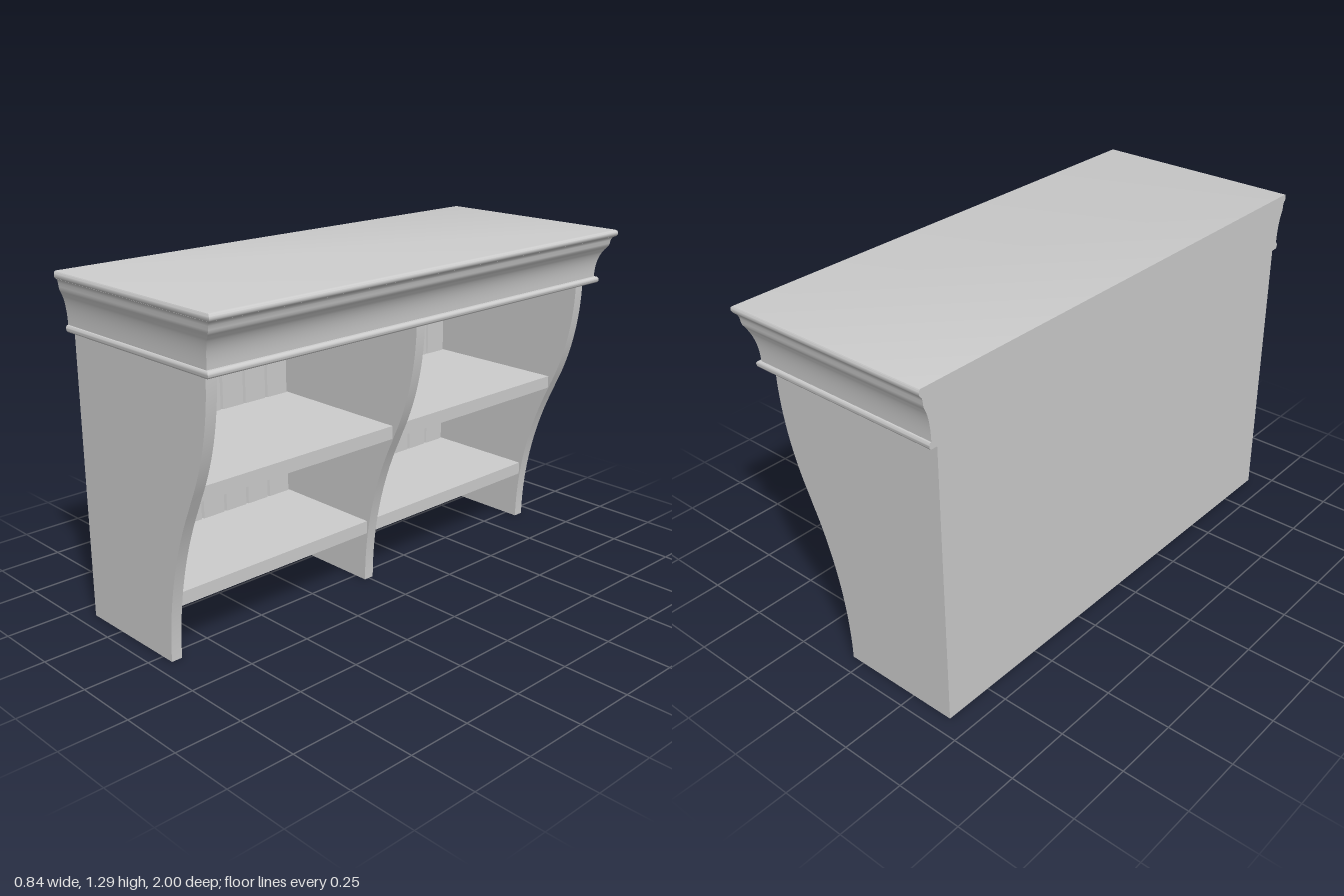
import * as THREE from 'three';
import { toCreasedNormals } from 'three/addons/utils/BufferGeometryUtils.js';

const BACK = -0.42, BODY_TOP = 1.08, PANEL = 0.042, HALF = 0.938;
const material = new THREE.MeshStandardMaterial({ color: 0xcccccc });

function add(group, name, geometry, x = 0, y = 0, z = 0) {
  const mesh = new THREE.Mesh(geometry, material);
  mesh.name = name;
  mesh.position.set(x, y, z);
  group.add(mesh);
}

// S-shaped front edge: two tangent arcs, upright at both ends
function edgeX(y) {
  if (y < 0.62) return 0.052 + 1.37 - Math.sqrt(1.37 ** 2 - y * y);
  const d = Math.max(0, 1.075 - y);
  return 0.308 - 1 + Math.sqrt(1 - d * d);
}

function panelGeometry() {
  const shape = new THREE.Shape();
  shape.moveTo(BACK, 0);
  for (let i = 0; i <= 36; i++) {
    const y = (BODY_TOP * i) / 36;
    shape.lineTo(edgeX(y), y);
  }
  shape.lineTo(BACK, BODY_TOP);
  const g = new THREE.ExtrudeGeometry(shape, { depth: PANEL, bevelEnabled: false });
  g.translate(0, 0, -PANEL / 2);
  return toCreasedNormals(g, 0.5);
}

// Back board of one bay, with V-grooves between its planks
function plankGeometry(width, count) {
  const face = BACK + 0.03, deep = face - 0.012, half = 0.006, pitch = width / count;
  const shape = new THREE.Shape();
  shape.moveTo(BACK, -width / 2);
  shape.lineTo(deep, -width / 2);
  for (let i = 0; i < count; i++) {
    const a = -width / 2 + i * pitch;
    shape.lineTo(face, a + half);
    shape.lineTo(face, a + pitch - half);
    shape.lineTo(deep, a + pitch);
  }
  shape.lineTo(BACK, width / 2);
  const g = new THREE.ExtrudeGeometry(shape, { depth: BODY_TOP, bevelEnabled: false });
  return g.rotateX(-Math.PI / 2);
}

// Cornice outline [x, y], from the bottom bead up through the cove to the top bead
function corniceProfile() {
  const pts = [[0.33, 1.075]];
  const bead = (x, y, r, n) => {
    for (let i = 0; i <= n; i++) {
      const a = -Math.PI / 2 + (Math.PI * i) / n;
      pts.push([x + r * Math.cos(a), y + r * Math.sin(a)]);
    }
  };
  bead(0.35, 1.0875, 0.0125, 8);
  const cove = new THREE.CubicBezierCurve(
    new THREE.Vector2(0.345, 1.1), new THREE.Vector2(0.347, 1.16),
    new THREE.Vector2(0.36, 1.195), new THREE.Vector2(0.39, 1.225));
  cove.getPoints(12).forEach((p) => pts.push([p.x, p.y]));
  pts.push([0.393, 1.235], [0.395, 1.248], [0.4, 1.258], [0.408, 1.263]);
  bead(0.406, 1.2765, 0.0135, 8);
  return pts;
}

// Stack of rectangles following the profile; the back stays flat
function corniceGeometry() {
  const profile = corniceProfile(), pos = [], idx = [];
  for (const [x, y] of profile) {
    const z = 1 - 0.53 * (0.4195 - x);
    pos.push(BACK, y, z, x, y, z, x, y, -z, BACK, y, -z);
  }
  for (let i = 0; i < profile.length - 1; i++) {
    for (let k = 0; k < 4; k++) {
      const a = i * 4 + k, b = i * 4 + ((k + 1) % 4);
      idx.push(a, b, b + 4, a, b + 4, a + 4);
    }
  }
  const t = (profile.length - 1) * 4;
  idx.push(t, t + 1, t + 2, t, t + 2, t + 3, 0, 2, 1, 0, 3, 2);
  const g = new THREE.BufferGeometry();
  g.setAttribute('position', new THREE.Float32BufferAttribute(pos, 3));
  g.setIndex(idx);
  return toCreasedNormals(g, 0.6);
}

export function createModel() {
  const model = new THREE.Group();
  model.name = 'wallShelf';

  // Three curved uprights
  const panel = panelGeometry();
  const outer = HALF - PANEL / 2;
  add(model, 'leftSidePanel', panel, 0, 0, outer);
  add(model, 'centreDivider', panel);
  add(model, 'rightSidePanel', panel, 0, 0, -outer);

  // Back boards and shelves of both bays
  const inner = HALF - PANEL, bay = inner - PANEL / 2;
  const planks = plankGeometry(bay, 8);
  for (const side of [1, -1]) {
    const z = side * (PANEL / 2 + bay / 2);
    add(model, 'backPlanks', planks, 0, 0, z);
    for (const [name, y] of [['lowerShelf', 0.2], ['upperShelf', 0.617]]) {
      const back = BACK + 0.01, front = edgeX(y) - 0.004;
      add(model, name, new THREE.BoxGeometry(front - back, 0.05, bay), (front + back) / 2, y + 0.025, z);
    }
  }

  // Moulded top
  add(model, 'cornice', corniceGeometry());
  return model;
}
